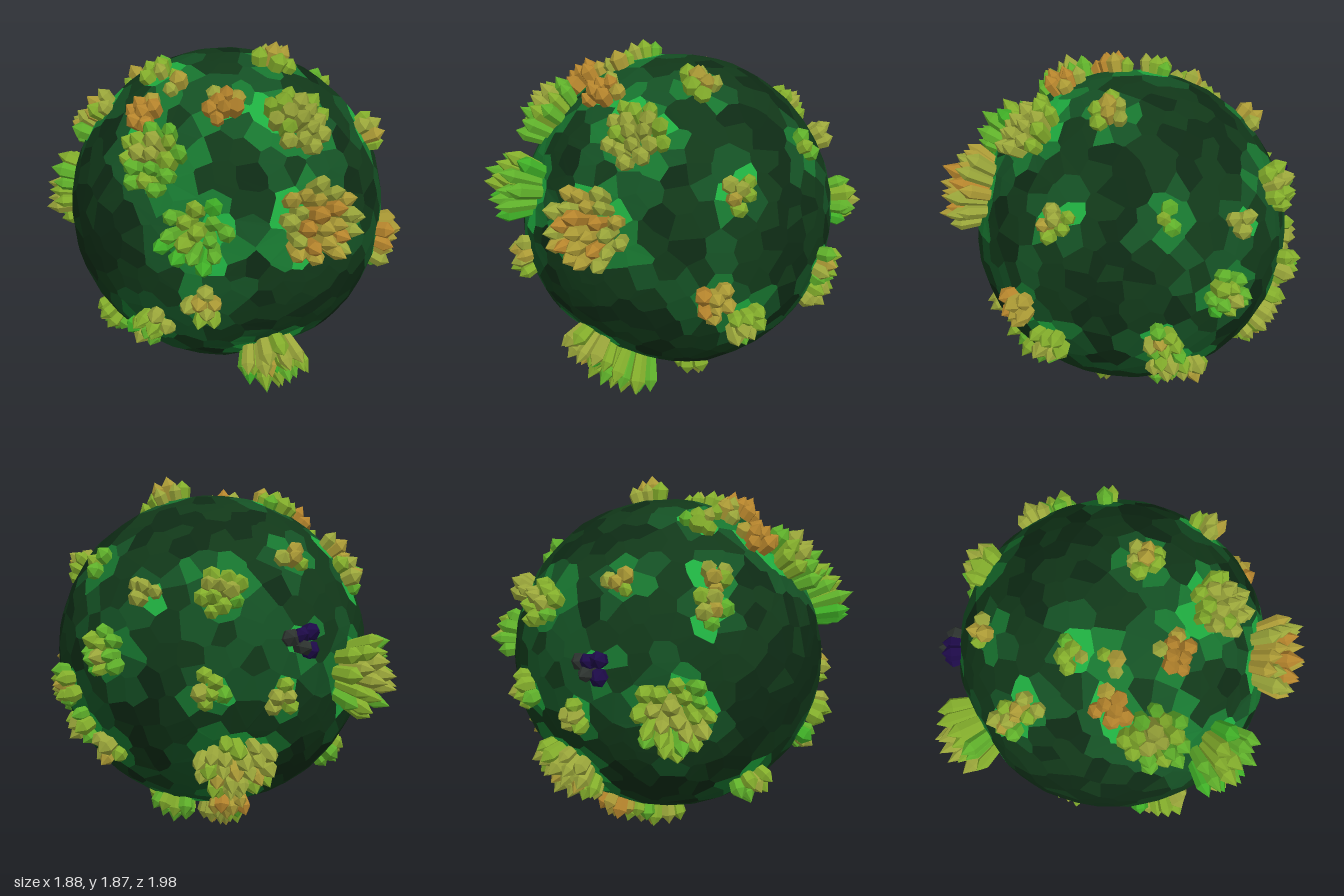
import * as THREE from 'three';
import { ConvexGeometry } from 'three/addons/geometries/ConvexGeometry.js';

const CENTER = new THREE.Vector3(-0.01, 1, 0.03);
const RADIUS = 0.815;
const GOLDEN = 2.39996;
const V = (x, y, z) => new THREE.Vector3(x, y, z);

let seed = 7;
const rand = () => {
  seed = (seed * 16807) % 2147483647;
  return seed / 2147483647;
};
const spreadRand = (a) => (rand() * 2 - 1) * a;

const material = (color) => new THREE.MeshStandardMaterial({ color, flatShading: true });

// Crystal tints from green to orange, the dark pair, and rock shades from dark to bright
const TINTS = [0x3fae26, 0x5fb02a, 0x83ad2b, 0x9aa63a, 0xab9a35, 0xb5842c].map(material);
const DARK = [0x1d0a48, 0x2c322e].map(material);
const ROCK = [0x0d2a14, 0x113819, 0x145024, 0x17752f, 0x1fae40].map(material);

// Direction from longitude (0 front, 90 left) and latitude in degrees
const direction = (lon, lat) => V().setFromSphericalCoords(
  1, THREE.MathUtils.degToRad(90 - lat), THREE.MathUtils.degToRad(lon));

// Large clusters: longitude, latitude, number of crystals, length, tint
const large = [
  [-19, 18, 24, 0.21, 4],
  [-10, 52, 17, 0.14, 2.4],
  [-84, 39, 17, 0.17, 2],
  [-61, 18, 15, 0.23, 0.9],
  [-31, -41, 14, 0.17, 2.6],
  [-21, -54, 15, 0.22, 1.2],
  [-162, -5, 22, 0.22, 2.2],
  [148, -36, 26, 0.15, 2.9],
].map(([lon, lat, count, length, tint]) => ({
  dir: direction(lon, lat), count, length, tint, spread: 0.042 * Math.sqrt(count),
}));

// Small clusters of one tint: longitude, latitude, number of crystals
const small = (tint, list) => list.map(([lon, lat, count]) => ({
  dir: direction(lon, lat), count, tint,
  length: 0.085 + 0.005 * count, spread: 0.033 * Math.sqrt(count),
}));

const clusters = [
  ...large,
  ...small(4.5, [[24, -5, 7], [-55, 62, 8], [-103, 52, 7], [153, -62, 7]]),
  ...small(3, [[36, 31, 6], [-59, -9, 7], [42, 74, 7], [92, -32, 5], [163, -9, 5],
    [113, 26, 4], [175, 39, 4], [-143, 40, 5], [-103, 68, 3], [175, -83, 12]]),
  ...small(2.4, [[36, -17, 8], [77, -9, 7], [81, -23, 7], [-79, -20, 6], [138, -5, 6],
    [141, 26, 11], [-147, 30, 6], [-137, 66, 5], [32, -73, 6], [152, -73, 8]]),
  ...small(1.6, [[81, 35, 3], [100, 5, 11], [-86, -29, 4], [-122, -41, 8], [101, -68, 9]]),
  ...small(-1, [[170, 10, 5]]),
];

// Two axes that lie flat on the surface at direction n
function tangents(n) {
  const u = V(0.31, 0.9, 0.2).cross(n).normalize();
  return [u, n.clone().cross(u)];
}

// The surface sinks a little under the large clusters
function surfacePoint(p) {
  const dir = p.clone().normalize();
  const gap = Math.min(...large.map((c) => dir.distanceTo(c.dir)));
  return p.clone().multiplyScalar(RADIUS * (1 - 0.035 * Math.exp(-((gap / 0.24) ** 2))));
}

// Rock: irregular many-sided facets, one for each scattered site on a sphere
function buildRock() {
  const N = 620, sites = [];
  for (let i = 0; i < N; i++) {
    const y = 1 - (2 * i + 1) / N, r = Math.sqrt(1 - y * y), a = i * GOLDEN;
    const p = V(r * Math.cos(a), y, r * Math.sin(a));
    sites.push(p.add(V(spreadRand(0.06), spreadRand(0.06), spreadRand(0.06))).normalize());
  }
  const key = (p) => [p.x, p.y, p.z].map((k) => k.toFixed(4)).join();
  const corners = new Map(sites.map((s) => [key(s), []]));
  const pos = new ConvexGeometry(sites).attributes.position;
  for (let i = 0; i < pos.count; i += 3) {
    const t = [0, 1, 2].map((k) => V().fromBufferAttribute(pos, i + k));
    const n = t[1].clone().sub(t[0]).cross(t[2].clone().sub(t[0])).normalize();
    n.divideScalar(n.dot(t[0]));
    t.forEach((p) => corners.get(key(p)).push(n));
  }
  const shades = ROCK.map(() => []);
  sites.forEach((s) => {
    const [u, v] = tangents(s);
    const angle = (p) => Math.atan2(p.dot(v), p.dot(u));
    const ring = corners.get(key(s)).sort((a, b) => angle(a) - angle(b)).map(surfacePoint);
    // Facets brighten close to the crystals
    const gap = Math.min(...clusters.map((c) => s.distanceTo(c.dir) - c.spread));
    const glow = 3.6 * Math.exp(-Math.max(0, gap) / 0.13) + rand() * 1.7 - 0.2;
    const out = shades[THREE.MathUtils.clamp(Math.floor(glow), 0, 4)];
    for (let k = 1; k < ring.length - 1; k++) out.push(ring[0], ring[k], ring[k + 1]);
  });
  const rock = new THREE.Group();
  rock.name = 'rock';
  shades.forEach((points, i) => {
    const geometry = new THREE.BufferGeometry().setFromPoints(points);
    geometry.computeVertexNormals();
    const mesh = new THREE.Mesh(geometry, ROCK[i]);
    mesh.name = 'rockFacets' + (i + 1);
    rock.add(mesh);
  });
  return rock;
}

// Crystal: six-sided shaft that widens upward, with a blunt pointed tip
const crystalGeometry = new THREE.LatheGeometry(
  [[0.72, 0], [1, 0.74], [0.001, 1]].map(([x, y]) => new THREE.Vector2(x, y)), 6);

function buildCluster(c, index) {
  const group = new THREE.Group();
  group.name = 'crystalCluster' + (index + 1);
  const [u, v] = tangents(c.dir);
  const turn = rand() * 6;
  for (let i = 0; i < c.count; i++) {
    const f = Math.sqrt((i + 0.3) / c.count);
    const a = turn + i * GOLDEN;
    const off = u.clone().multiplyScalar(Math.cos(a)).addScaledVector(v, Math.sin(a));
    const base = c.dir.clone().addScaledVector(off, f * c.spread * 0.95).normalize();
    // Outer crystals are shorter and lean away from the middle
    const axis = base.clone().addScaledVector(off, f * 0.22).normalize();
    const long = c.length * (1.06 - 0.35 * f * f + spreadRand(0.12));
    const width = 0.041 + spreadRand(0.006);
    const tint = Math.round(c.tint - (f - 0.6) * 1.4 + spreadRand(0.9));
    const mat = c.tint < 0 ? DARK[i % 2] : TINTS[THREE.MathUtils.clamp(tint, 0, 5)];
    const crystal = new THREE.Mesh(crystalGeometry, mat);
    crystal.name = 'crystal';
    crystal.position.copy(base).multiplyScalar(RADIUS - 0.06);
    crystal.quaternion.setFromUnitVectors(V(0, 1, 0), axis);
    crystal.rotateY(rand() * 6);
    crystal.scale.set(width, long + 0.055, width);
    group.add(crystal);
  }
  return group;
}

export function createModel() {
  const model = new THREE.Group();
  model.name = 'crystalRock';
  model.add(buildRock());
  clusters.forEach((c, i) => model.add(buildCluster(c, i)));
  model.children.forEach((part) => part.position.copy(CENTER));
  return model;
}
